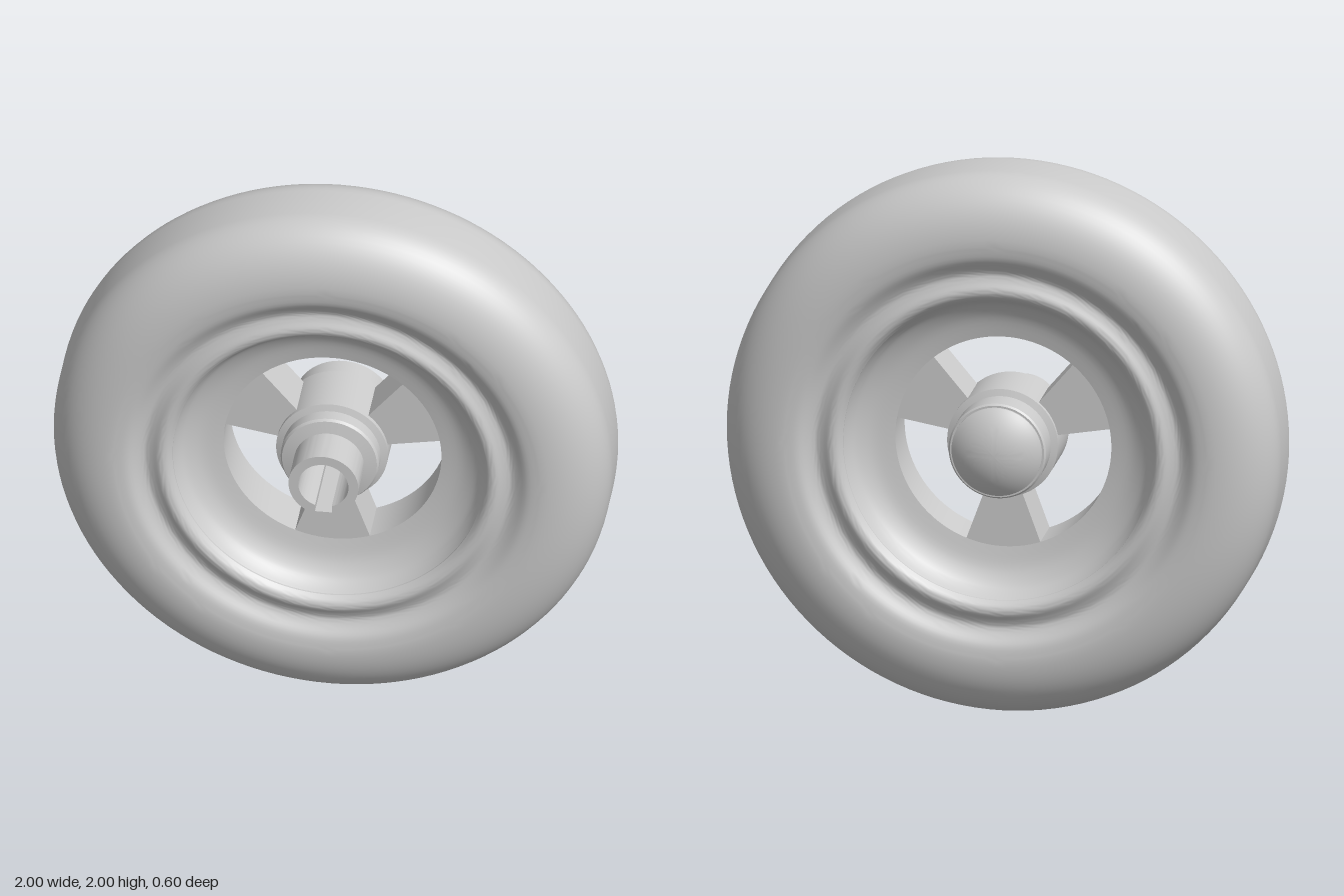
import * as THREE from 'three';
import { toCreasedNormals } from 'three/addons/utils/BufferGeometryUtils.js';

const MID = -0.025; // z of the wheel's middle plane
const material = new THREE.MeshStandardMaterial({ color: 0xcccccc });

function part(name, geometry, crease = 0.5) {
  const mesh = new THREE.Mesh(toCreasedNormals(geometry, crease), material);
  mesh.name = name;
  return mesh;
}

// Turn a profile of [radius, z] pairs about the z axis
function turned(points, segments = 96) {
  const profile = points.map(([r, z]) => new THREE.Vector2(r, z));
  return new THREE.LatheGeometry(profile, segments).rotateX(Math.PI / 2);
}

// Smooth curve through [radius, z] pairs
function smooth(points, count) {
  const curve = new THREE.SplineCurve(points.map(([r, z]) => new THREE.Vector2(r, z)));
  return curve.getPoints(count).map((p) => [p.x, p.y]);
}

// Mirror a front half-profile to the back and close it around the ring
function closedRing(front) {
  const back = front.map(([r, z]) => [r, -z]).reverse();
  return [...back, ...front, back[0]];
}

function extruded(shape, z0, z1, curveSegments) {
  return new THREE.ExtrudeGeometry(shape, { depth: z1 - z0, bevelEnabled: false, curveSegments })
    .translate(0, 0, z0);
}

export function createModel() {
  const model = new THREE.Group();
  model.name = 'wheel';
  const wheel = new THREE.Group();
  wheel.name = 'wheelAssembly';
  wheel.position.y = 1;
  model.add(wheel);

  // Tyre: flat tread, rounded shoulder, side wall dipping to the rim bead
  const tyre = [];
  for (let i = 0; i <= 14; i++) {
    const a = (i / 14) * Math.PI / 2;
    tyre.push([0.77 + 0.23 * Math.cos(a), 0.07 + 0.175 * Math.sin(a)]);
  }
  tyre.push(...smooth([[0.77, 0.245], [0.72, 0.237], [0.68, 0.213], [0.655, 0.203],
    [0.63, 0.21], [0.6, 0.224], [0.575, 0.218], [0.558, 0.198]], 28).slice(1));
  tyre.push([0.558, 0.1]);
  const tyreMesh = part('tyre', turned(closedRing(tyre), 128));
  tyreMesh.position.z = MID;
  wheel.add(tyreMesh);

  // Rim: dished on both sides down to the window edge
  const dish = smooth([[0.56, 0.195], [0.545, 0.165], [0.52, 0.135], [0.465, 0.105], [0.39, 0.088]], 16);
  const rim = part('rim', turned(closedRing(dish)));
  rim.position.z = MID;
  wheel.add(rim);

  // Three spokes between the windows
  const half = Math.PI / 9;
  for (let i = 0; i < 3; i++) {
    const a = Math.PI / 6 + (i * 2 * Math.PI) / 3;
    const sector = new THREE.Shape();
    sector.absarc(0, 0, 0.395, a - half, a + half, false);
    sector.absarc(0, 0, 0.17, a + half, a - half, true);
    const spoke = part('spoke', extruded(sector, -0.088, 0.088, 16));
    spoke.position.z = MID;
    wheel.add(spoke);
  }

  // Collar where the spokes meet the hub
  const collar = part('collar', turned(closedRing([[0.2, 0.105], [0.17, 0.115]]), 64));
  collar.position.z = MID;
  wheel.add(collar);

  // Hub barrel, open at the front around the boss
  wheel.add(part('hub', turned([[0.15, -0.235], [0.17, -0.235], [0.176, -0.228],
    [0.176, 0.135], [0.17, 0.145], [0.12, 0.155]], 64)));

  // Domed cap on the back
  const dome = [];
  for (let i = 0; i <= 12; i++) {
    const r = (0.163 * i) / 12;
    dome.push([r, -0.043 - Math.sqrt(0.257 ** 2 - r * r)]);
  }
  dome.push([0.163, -0.23]);
  wheel.add(part('cap', turned(dome, 64)));

  // Front boss with a keyed bore
  const boss = new THREE.Shape();
  boss.absarc(0, 0, 0.125, 0, Math.PI * 2, false);
  const bore = new THREE.Path();
  const key = Math.asin(0.03 / 0.09);
  bore.absarc(0, 0, 0.09, -Math.PI / 2 + key, 1.5 * Math.PI - key, false);
  bore.lineTo(-0.03, -0.112);
  bore.lineTo(0.03, -0.112);
  bore.closePath();
  boss.holes.push(bore);
  wheel.add(part('boss', extruded(boss, -0.06, 0.3, 48)));

  // Rounded bottom of the bore
  wheel.add(part('boreFloor', turned([[0.12, -0.02], [0.09, -0.02], [0.075, -0.055],
    [0.045, -0.08], [0, -0.09]], 48), 1));

  return model;
}
